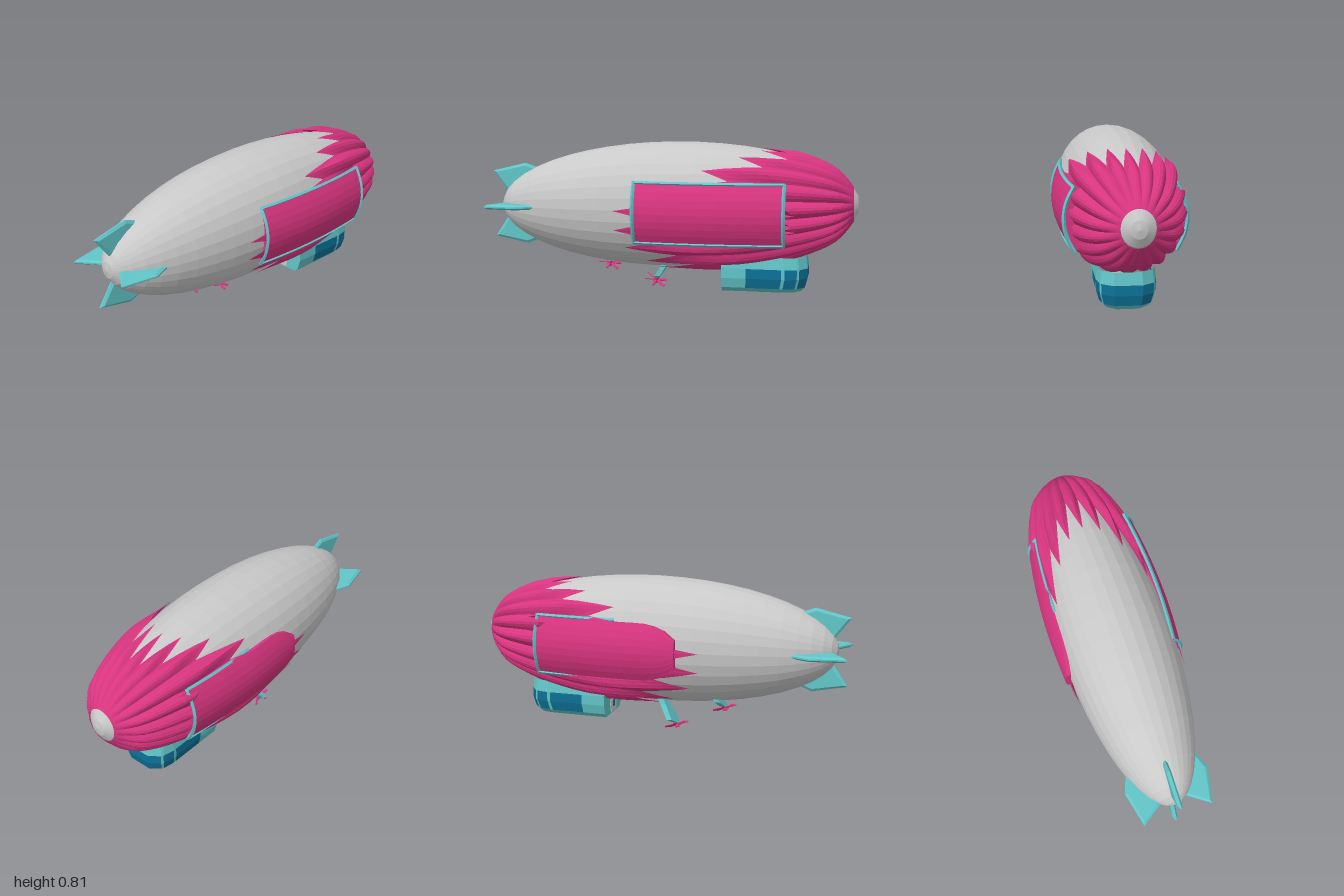
import * as THREE from 'three';

const mat = (name, color, side = THREE.FrontSide) => {
  const m = new THREE.MeshStandardMaterial({ color, side });
  m.name = name;
  return m;
};

export function createModel() {
  const grey = mat('hullGrey', 0xc9c9c9);
  const pink = mat('pink', 0xd8357f, THREE.DoubleSide);
  const teal = mat('teal', 0x62c6c9);
  const blue = mat('windowBlue', 0x0d7299, THREE.DoubleSide);

  const model = new THREE.Group();
  model.name = 'airship';
  const add = (parent, name, geometry, material) => {
    const mesh = new THREE.Mesh(geometry, material);
    mesh.name = name;
    parent.add(mesh);
    return mesh;
  };
  // Faceted normals
  const flat = (g) => {
    const f = g.index ? g.toNonIndexed() : g;
    f.computeVertexNormals();
    return f;
  };
  const fromPoints = (pts) => {
    const g = new THREE.BufferGeometry();
    g.setAttribute('position', new THREE.Float32BufferAttribute(pts.flat(), 3));
    g.computeVertexNormals();
    return g;
  };
  const quad = (out, a, b, c, d) => out.push(a, b, c, a, c, d);
  const shapeOf = (pts) => new THREE.Shape(pts.map(([x, y]) => new THREE.Vector2(x, y)));

  // Envelope, tipped slightly off the axis
  const RX = 0.3, RY = 0.336, RZ = 0.972;
  const envelope = new THREE.Group();
  envelope.name = 'envelope';
  envelope.position.set(0, 0.488, -0.027);
  envelope.rotation.set(0.018, 0.018, 0);
  model.add(envelope);
  const hull = new THREE.SphereGeometry(1, 32, 24);
  hull.rotateX(Math.PI / 2);
  hull.scale(RX, RY, RZ);
  add(envelope, 'hull', flat(hull), grey);

  // Fluted nose cover: 20 lobes, each ending in a pointed tooth.
  // Tip position from the top lobe round to the bottom lobe
  const tips = [-0.5, -0.46, -0.35, -0.17, 0.0, 0.29, 0.29, 0.24, 0.14, 0.08, 0.04];
  const tip = (k) => tips[Math.abs(((k + 10 + 20) % 20) - 10)];
  const STEP = Math.PI / 10, NOSE = -0.94, COLS = 6, ROWS = 18;
  const coverPoint = (k, i, j) => {
    const u = (i / COLS) * 2 - 1;
    const theta = Math.PI / 2 - k * STEP + u * STEP / 2;
    const notch = (tip(k) + tip(k + (u < 0 ? 1 : -1))) / 2 - 0.22;
    const end = notch + (tip(k) - notch) * (1 - Math.abs(u));
    const t = Math.pow(j / ROWS, 1.6);
    const z = NOSE + (end - NOSE) * t;
    const f = Math.sqrt(1 - (z / RZ) ** 2);
    const rise = Math.sin(Math.min(1, (z - NOSE) / 0.12) * Math.PI / 2);
    const fade = 1 - THREE.MathUtils.smoothstep(t, 0.55, 1);
    const height = (0.026 + 0.02 * Math.abs(Math.cos(theta))) * (0.4 + 0.6 * Math.cos(u * Math.PI / 2));
    let off = 0.005 + height * rise * (0.2 + 0.8 * fade);
    if (Math.abs(Math.sin(theta)) < 0.42 && z > -0.57) off = Math.min(off, 0.014);
    return [Math.cos(theta) * (RX * f + off), Math.sin(theta) * (RY * f + off), z];
  };
  const cover = [];
  for (let k = 0; k < 20; k++)
    for (let i = 0; i < COLS; i++)
      for (let j = 0; j < ROWS; j++)
        quad(cover, coverPoint(k, i, j), coverPoint(k, i + 1, j),
          coverPoint(k, i + 1, j + 1), coverPoint(k, i, j + 1));
  add(envelope, 'noseCover', fromPoints(cover), pink);

  // Four tail fins
  const finShape = shapeOf([[0.03, 0.89], [0.1, 0.74], [0.185, 0.74], [0.223, 0.84], [0.182, 1.025], [0.06, 0.94]]);
  for (let k = 0; k < 4; k++) {
    const g = new THREE.ExtrudeGeometry(finShape, {
      depth: 0.008, bevelEnabled: true, bevelSegments: 1, bevelThickness: 0.009, bevelSize: 0.014, bevelOffset: -0.014,
    });
    g.translate(0, 0, -0.004);
    g.rotateX(Math.PI / 2);
    g.rotateZ(k * Math.PI / 2);
    add(envelope, 'tailFin', flat(g), teal);
  }

  // Side panels: box bent to a shallow curve, v runs -1..1 in height
  const PY = 0.472, PH = 0.15, Z0 = -0.62, Z1 = 0.15;
  const panelX = (z, v) => 0.336 - 0.17 * (z + 0.15) ** 2 - 0.045 * v * v;
  for (const s of [1, -1]) {
    const g = new THREE.BoxGeometry(2, 2, Z1 - Z0, 1, 8, 14);
    const p = g.attributes.position;
    for (let i = 0; i < p.count; i++) {
      const z = p.getZ(i) + (Z0 + Z1) / 2;
      // The panel on -x has a rounded tail end
      const q = s < 0 ? Math.max(0, (z + 0.05) / 0.2) : 0;
      const v = p.getY(i) * Math.sqrt(1 - 0.75 * q * q);
      const inset = p.getX(i) * s > 0 ? 0 : 0.06;
      p.setXYZ(i, s * (panelX(z, v) - inset), PY + PH * v, z);
    }
    add(model, s > 0 ? 'leftPanel' : 'rightPanel', flat(g), pink);

    const bar = (name, path) => add(model, name, flat(new THREE.TubeGeometry(
      new THREE.CatmullRomCurve3(path), 14, 0.01, 4)), teal);
    const steps = [0, 1, 2, 3, 4, 5, 6];
    const at = (z, v) => new THREE.Vector3(s * panelX(z, v), PY + PH * v, z);
    const railEnd = s > 0 ? Z1 : -0.18;
    for (const v of [-1.04, 1.04])
      bar('panelRail', steps.map((i) => {
        const pt = at(Z0 + (railEnd - Z0) * i / 6, v);
        if (s < 0) pt.x += 0.018 * i / 6;
        return pt;
      }));
    for (const z of s > 0 ? [Z0, Z1] : [Z0])
      bar('panelEndBar', steps.map((i) => at(z, (i / 3 - 1) * 1.08)));
  }

  // Gondola: plan outline swept through levels of height, width and length
  const side = [[0.147, -0.29], [0.147, -0.42], [0.147, -0.605], [0.147, -0.622], [0.134, -0.685], [0.127, -0.697], [0.07, -0.738]];
  const plan = [...side, ...side.map(([x, z]) => [-x, z]).reverse()];
  const levels = [[0.045, 0.74, 0.92], [0.068, 0.89, 0.97], [0.12, 0.99, 1], [0.172, 1, 1], [0.235, 0.95, 0.98]];
  const ring = levels.map(([y, sx, sz]) => plan.map(([x, z]) => [x * sx, y, -0.29 + (z + 0.29) * sz]));
  const glazed = new Set([1, 3, 5, 6, 7, 9, 11]);
  const body = [], glass = [];
  const last = plan.length - 1;
  for (let j = 0; j < levels.length - 1; j++) {
    for (let i = 0; i < last; i++) {
      const window = (j === 1 || j === 2) && glazed.has(i);
      quad(window ? glass : body, ring[j][i], ring[j][i + 1], ring[j + 1][i + 1], ring[j + 1][i]);
    }
    quad(body, ring[j][last], ring[j][0], ring[j + 1][0], ring[j + 1][last]);
  }
  for (let i = 0; i < last; i++) body.push([0, 0.045, -0.29], ring[0][i + 1], ring[0][i]);
  add(model, 'gondolaBody', fromPoints(body), teal);
  add(model, 'gondolaWindows', fromPoints(glass), blue);

  // Gondola door and its window
  const plate = (name, pts, z, material) => {
    const g = new THREE.ExtrudeGeometry(shapeOf(pts), { depth: 0.005, bevelEnabled: false });
    g.translate(0, 0, z);
    add(model, name, flat(g), material);
  };
  plate('gondolaDoor', [[-0.035, 0.052], [0.047, 0.052], [0.058, 0.125], [-0.05, 0.125]], -0.291, grey);
  plate('doorWindow', [[-0.008, 0.08], [0.016, 0.08], [0.019, 0.117], [-0.012, 0.117]], -0.288, blue);

  // Engine pylons, leaning back, with propellers
  const engine = (name, outline, z, lean, hub) => {
    const group = new THREE.Group();
    group.name = name;
    model.add(group);
    const g = new THREE.ExtrudeGeometry(shapeOf(outline), { depth: 0.03, bevelEnabled: false });
    const p = g.attributes.position;
    for (let i = 0; i < p.count; i++) p.setZ(i, p.getZ(i) + z + (0.18 - p.getY(i)) * lean);
    add(group, 'pylon', flat(g), teal);
    const prop = new THREE.Group();
    prop.name = 'propeller';
    prop.position.set(...hub);
    prop.quaternion.setFromUnitVectors(new THREE.Vector3(0, 1, 0), new THREE.Vector3(0.28, 0.85, -0.32).normalize());
    group.add(prop);
    add(prop, 'hub', flat(new THREE.CylinderGeometry(0.01, 0.014, 0.034, 8)), pink);
    for (let k = 0; k < 6; k++) {
      const blade = new THREE.BoxGeometry(0.058, 0.004, 0.013);
      blade.rotateX(0.5);
      blade.translate(0.036, 0, 0);
      blade.rotateY(k * Math.PI / 3);
      add(prop, 'blade', flat(blade), pink);
    }
  };
  engine('frontEngine', [[-0.13, 0.205], [-0.14, 0.16], [-0.178, 0.085], [-0.11, 0.05], [-0.07, 0.07], [-0.07, 0.11], [-0.085, 0.2]],
    0.015, 0.6, [-0.107, 0.043, 0.11]);
  engine('rearEngine', [[-0.128, 0.205], [-0.128, 0.188], [-0.075, 0.152], [-0.04, 0.152], [-0.032, 0.178]],
    0.325, 0.5, [-0.055, 0.142, 0.36]);

  return model;
}
